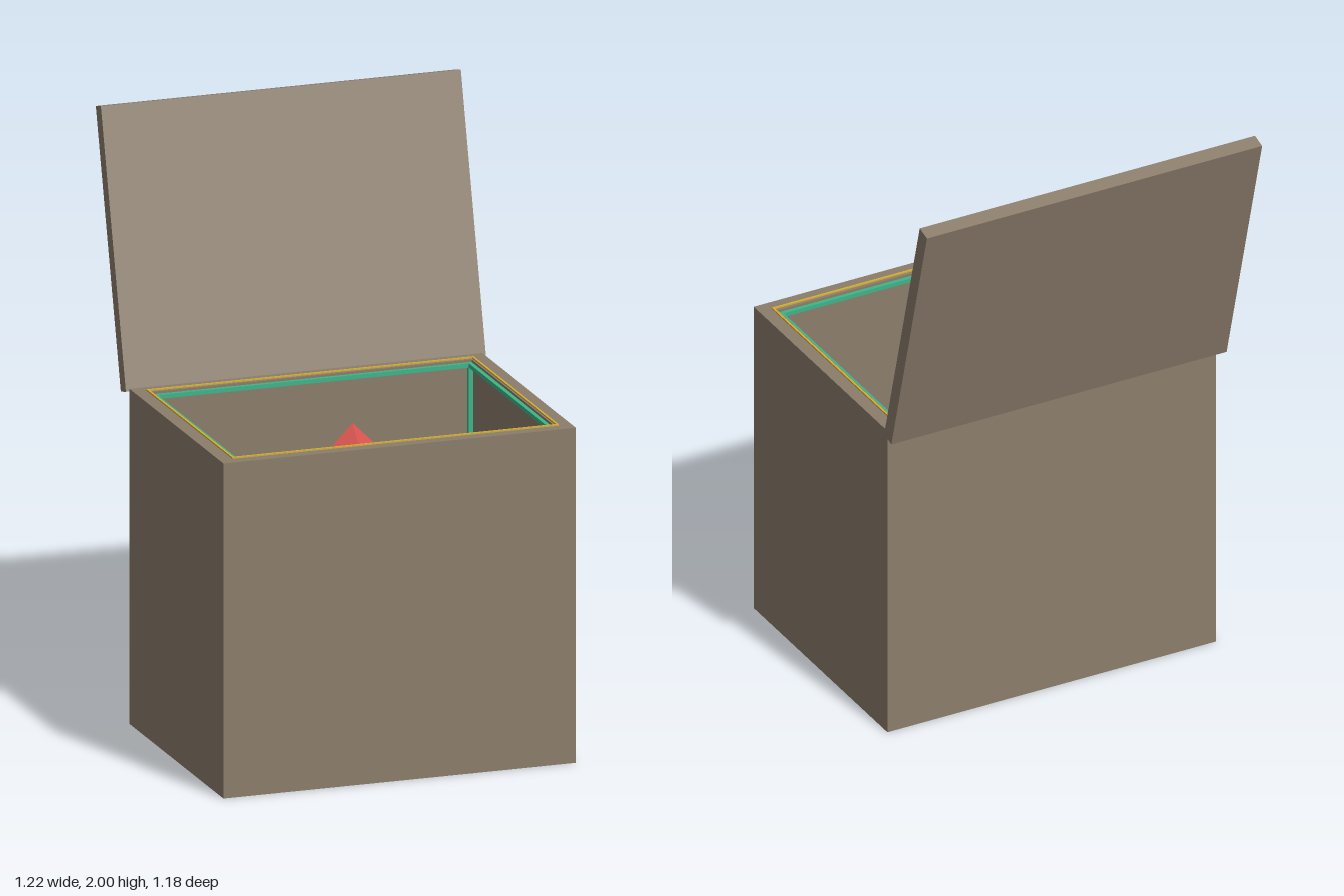
import * as THREE from 'three';

const mat = (name, hex) => {
  const m = new THREE.MeshStandardMaterial({ color: hex });
  m.name = name;
  return m;
};

export function createModel() {
  const model = new THREE.Group();
  model.name = 'openChest';
  const stone = mat('warm stone', 0x8b7d6b);
  const gold = mat('gold', 0xd4af37);
  const green = mat('mint green', 0x3eb489);
  const red = mat('gem red', 0xd9534f);

  const CZ = 0.1425, HX = 0.6, HZ = 0.4475, H = 1.12, FLOOR = 0.06, WALL = 0.057;

  // Flat rectangular ring lying on y, with outer half sizes hx, hz
  function ring(name, hx, hz, width, y, height, material) {
    const rect = (T, a, b) => new T([[-a, -b], [a, -b], [a, b], [-a, b]].map(p => new THREE.Vector2(...p)));
    const shape = rect(THREE.Shape, hx, hz);
    shape.holes.push(rect(THREE.Path, hx - width, hz - width));
    const geo = new THREE.ExtrudeGeometry(shape, { depth: height, bevelEnabled: false });
    geo.rotateX(-Math.PI / 2);
    const mesh = new THREE.Mesh(geo, material);
    mesh.name = name;
    mesh.position.set(0, y, CZ);
    model.add(mesh);
  }

  function box(name, size, pos, material) {
    const mesh = new THREE.Mesh(new THREE.BoxGeometry(...size), material);
    mesh.name = name;
    mesh.position.set(...pos);
    model.add(mesh);
    return mesh;
  }

  // Hollow body with a floor
  ring('walls', HX, HZ, WALL, 0, H, stone);
  box('floor', [2 * (HX - WALL), FLOOR, 2 * (HZ - WALL)], [0, FLOOR / 2, CZ], stone);

  // Gold inlay on the rim
  ring('rimInlay', 0.556, 0.408, 0.007, H, 0.005, gold);

  // Green trim along the inner edges
  const ix = HX - WALL, iz = HZ - WALL, bar = 0.014;
  ring('upperTrim', ix, iz, bar, 1.098, bar, green);
  ring('lowerTrim', ix, iz, bar, FLOOR, bar, green);
  for (const sx of [-1, 1]) for (const sz of [-1, 1]) {
    box('cornerTrim', [bar, 1.098 - FLOOR - bar, bar],
      [sx * (ix - bar / 2), (1.098 + FLOOR + bar) / 2, CZ + sz * (iz - bar / 2)], green);
  }

  // Lid leaning back on the rear edge
  const lid = box('lid', [1.224, 0.92, 0.05], [0, 1.549, -0.448], stone);
  lid.rotation.x = -Math.PI / 12;

  // Floating gem
  const gem = new THREE.Mesh(new THREE.OctahedronGeometry(0.07), red);
  gem.name = 'gem';
  gem.position.set(0, 1.0, 0.14);
  model.add(gem);

  return model;
}
